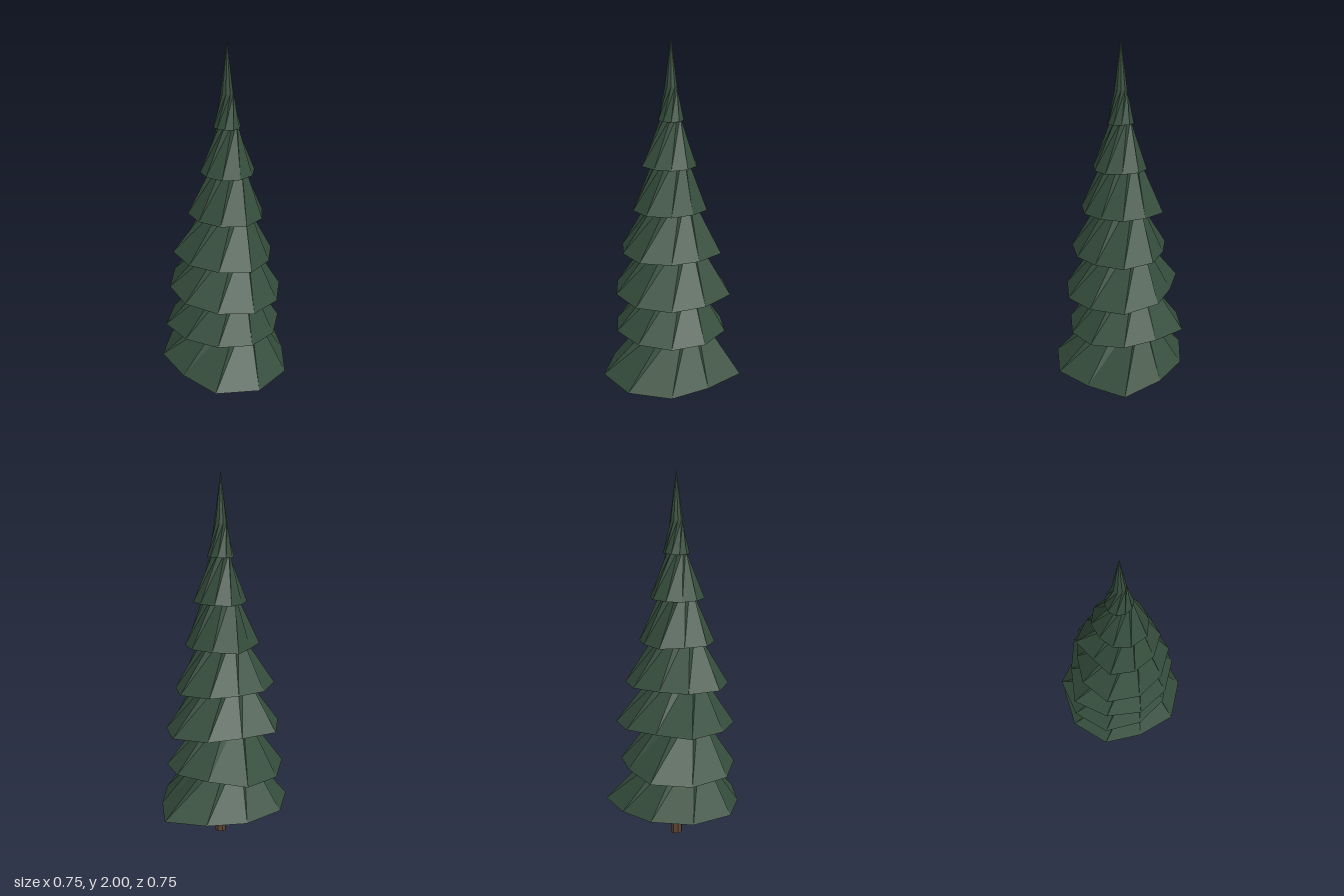
import * as THREE from 'three';

const SIDES = 10, STEP = Math.PI / 5, START = THREE.MathUtils.degToRad(70);
const TWIST = THREE.MathUtils.degToRad(36);

// each tier of branches: rim height, rise, tilt towards the left, droop at both sides, rim radii
const TIERS = [
  { y: 0.198, rise: 0.32, tilt: 0.02, droop: 0, r: [0.40, 0.34, 0.35, 0.375, 0.377, 0.345, 0.39, 0.39, 0.371, 0.333] },
  { y: 0.428, rise: 0.32, tilt: 0, droop: 0.014, r: [0.31, 0.30, 0.355, 0.35, 0.35, 0.32, 0.31, 0.30, 0.29, 0.30] },
  { y: 0.655, rise: 0.32, tilt: 0.018, droop: 0.005, r: [0.335, 0.31, 0.28, 0.34, 0.32, 0.315, 0.31, 0.315, 0.305, 0.30] },
  { y: 0.88, rise: 0.32, tilt: 0.008, droop: 0.004, r: [0.28, 0.265, 0.235, 0.265, 0.295, 0.28, 0.27, 0.28, 0.25, 0.245] },
  { y: 1.11, rise: 0.32, tilt: 0, droop: 0.003, r: [0.20, 0.20, 0.23, 0.18, 0.21, 0.205, 0.21, 0.22, 0.205, 0.19] },
  { y: 1.34, rise: 0.26, tilt: 0, droop: 0.004, r: [0.14, 0.145, 0.14, 0.13, 0.14, 0.15, 0.16, 0.15, 0.145, 0.145] },
  { y: 1.575, rise: 0.17, tilt: 0, droop: 0.003, r: Array(SIDES).fill(0.07) },
];

const polar = (r, a, y) => [r * Math.cos(a), y, -r * Math.sin(a)];

// a folded skirt whose upper ring is twisted against its rim, closed below by a shallow hollow
function tierGeometry({ y, rise, tilt, droop, r }, isTip) {
  const rim = [], top = [];
  r.forEach((radius, i) => {
    const a = START + i * STEP;
    rim.push(polar(radius, a, y - tilt * Math.cos(a) - droop * Math.cos(2 * a)));
    top.push(polar(radius * (isTip ? 0.48 : 0.35), a + TWIST, y + rise));
  });
  const hollow = [0, y + r[0] * 0.33, 0];
  const apex = [0, isTip ? 2 : y + rise, 0];
  const points = [];
  for (let i = 0; i < SIDES; i++) {
    const j = (i + 1) % SIDES;
    points.push(...rim[i], ...rim[j], ...top[j]);
    points.push(...rim[i], ...top[j], ...top[i]);
    points.push(...top[i], ...top[j], ...apex);
    points.push(...rim[j], ...rim[i], ...hollow);
  }
  const geometry = new THREE.BufferGeometry();
  geometry.setAttribute('position', new THREE.Float32BufferAttribute(points, 3));
  geometry.computeVertexNormals();
  return geometry;
}

export function createModel() {
  const needles = new THREE.MeshStandardMaterial({ color: 0x354d3c, flatShading: true });
  needles.name = 'needle green';
  const bark = new THREE.MeshStandardMaterial({ color: 0x5c4636, flatShading: true });
  bark.name = 'bark brown';

  const tree = new THREE.Group();
  tree.name = 'firTree';

  // trunk, running up into the lowest tier
  const trunk = new THREE.Mesh(new THREE.CylinderGeometry(0.03, 0.033, 0.4, 8), bark);
  trunk.name = 'trunk';
  trunk.position.y = 0.2;
  tree.add(trunk);

  // branch tiers, the last one ending in the tip
  TIERS.forEach((tier, i) => {
    const isTip = i === TIERS.length - 1;
    const mesh = new THREE.Mesh(tierGeometry(tier, isTip), needles);
    mesh.name = isTip ? 'treeTip' : `branchTier${i + 1}`;
    tree.add(mesh);
  });
  return tree;
}
